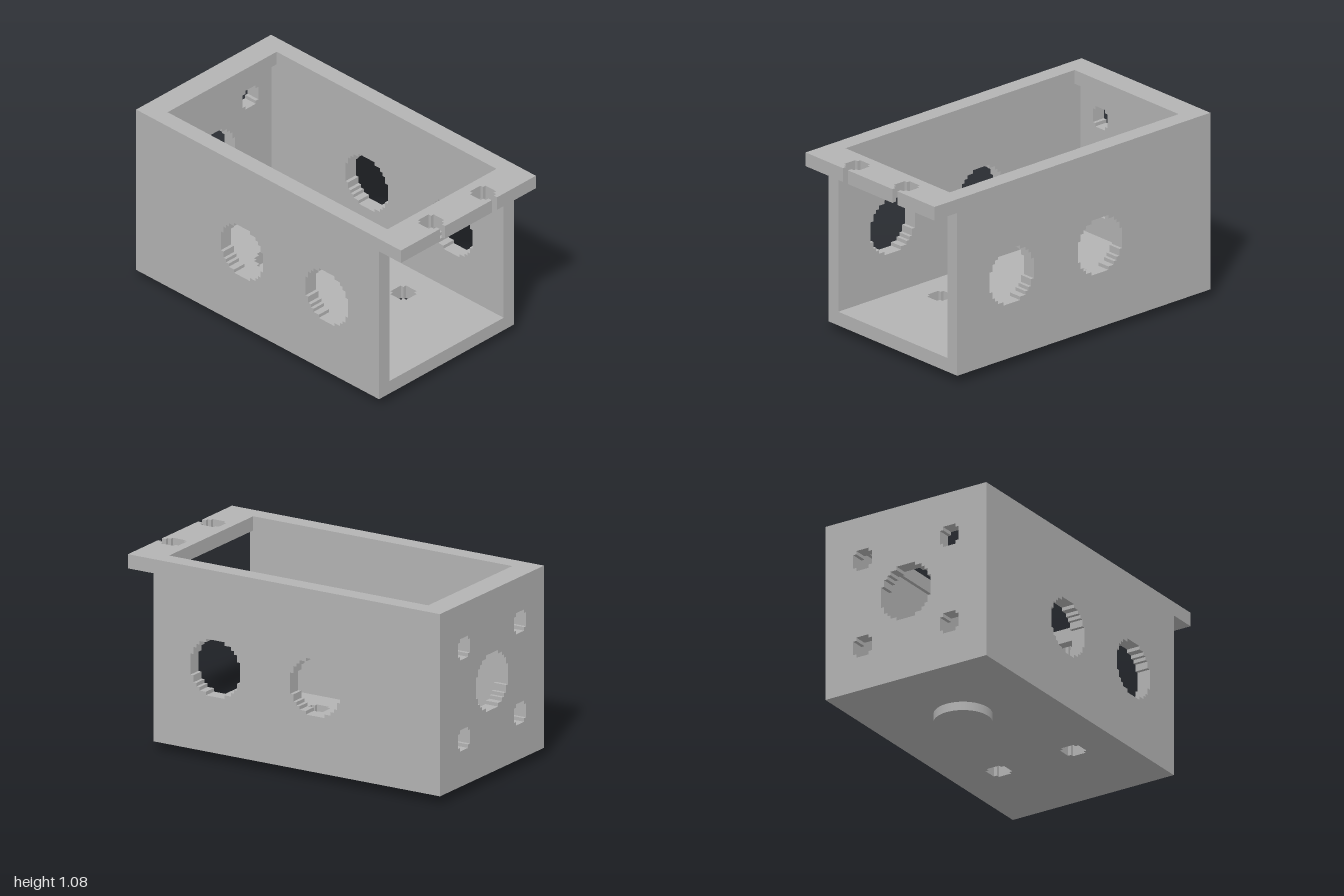
import * as THREE from 'three';

const CELL = 0.02;

// Stepped outline of a round hole, counter-clockwise, starting on its +x side
function steppedCircle(cx, cy, r) {
  const n = Math.round(r / CELL);
  const width = j => {
    let k = 0;
    while (k < n && Math.hypot(k + 0.5, j + 0.5) * CELL <= r) k++;
    return k * CELL;
  };
  const quarter = [];
  for (let j = 0; j < n - 1; j++) {
    const a = width(j), b = width(j + 1), y = (j + 1) * CELL;
    if (a !== b) quarter.push([a, y], [b, y]);
  }
  quarter.push([width(n - 1), r]);
  const points = [];
  for (let q = 0; q < 4; q++) {
    const c = [1, 0, -1, 0][q], s = [0, 1, 0, -1][q];
    for (const [x, y] of quarter) points.push(new THREE.Vector2(cx + c * x - s * y, cy + s * x + c * y));
  }
  return points;
}

function rectangle(x0, y0, x1, y1) {
  return [[x0, y0], [x1, y0], [x1, y1], [x0, y1]].map(p => new THREE.Vector2(...p));
}

// Plate cut from an outline with holes, extruded along +z
function plate(outline, holes, depth) {
  const shape = new THREE.Shape(outline);
  for (const h of holes) shape.holes.push(new THREE.Path(h));
  return new THREE.ExtrudeGeometry(shape, { depth, bevelEnabled: false });
}

export function createModel() {
  const group = new THREE.Group();
  const grey = new THREE.MeshStandardMaterial({ color: 0xb3b3b3 });
  grey.name = 'grey';
  const add = (name, geometry) => {
    const mesh = new THREE.Mesh(geometry, grey);
    mesh.name = name;
    group.add(mesh);
  };

  const T = 0.08, W = 0.52, IN = W - T;      // wall thickness, half width, inner half width
  const BOTTOM = 0.05, RIM = 1.0, END = 0.835;

  // Long side walls with two large holes each
  for (const [name, z] of [['leftSideWall', -W], ['rightSideWall', IN]]) {
    const holes = [-0.2, 0.44].map(x => steppedCircle(x, 0.527, 0.16));
    add(name === 'leftSideWall' ? 'backSideWall' : 'frontSideWall',
      plate(rectangle(-1, BOTTOM, END, RIM), holes, T).translate(0, 0, z));
  }

  // Closed end wall: one large hole and four screw holes
  const endHoles = [steppedCircle(0, 0.565, 0.16)];
  for (const z of [-0.28, 0.28]) for (const y of [0.31, 0.825]) endHoles.push(steppedCircle(z, y, 0.06));
  add('endWall', plate(rectangle(-IN, BOTTOM, IN, RIM), endHoles, T).rotateY(Math.PI / 2).translate(-1, 0, 0));

  // Floor with two screw holes and the round recess above the foot
  const floorHoles = [-0.24, 0.24].map(z => steppedCircle(0.275, z, 0.06));
  floorHoles.push(steppedCircle(-0.44, 0, 0.12));
  add('floor', plate(rectangle(-1 + T, -IN, END, IN), floorHoles, T).rotateX(-Math.PI / 2).translate(0, BOTTOM, 0));

  // Top rim with an overhanging tab; two holes slotted through to its edge
  const outline = [new THREE.Vector2(-1, -W), new THREE.Vector2(1, -W)];
  for (const z of [-0.2, 0.2]) {
    const edge = 0.915 + 0.06;
    outline.push(new THREE.Vector2(1, z - 0.02), new THREE.Vector2(edge, z - 0.02),
      ...steppedCircle(0.915, z, 0.06).reverse(),
      new THREE.Vector2(edge, z + 0.02), new THREE.Vector2(1, z + 0.02));
  }
  outline.push(new THREE.Vector2(1, W), new THREE.Vector2(-1, W));
  add('topRim', plate(outline, [rectangle(-0.86, -0.42, 0.8, 0.42)], T).rotateX(-Math.PI / 2).translate(0, RIM, 0));

  // Round foot under the floor
  add('foot', new THREE.CylinderGeometry(0.16, 0.16, BOTTOM, 64).translate(-0.44, BOTTOM / 2, 0));

  return group;
}
